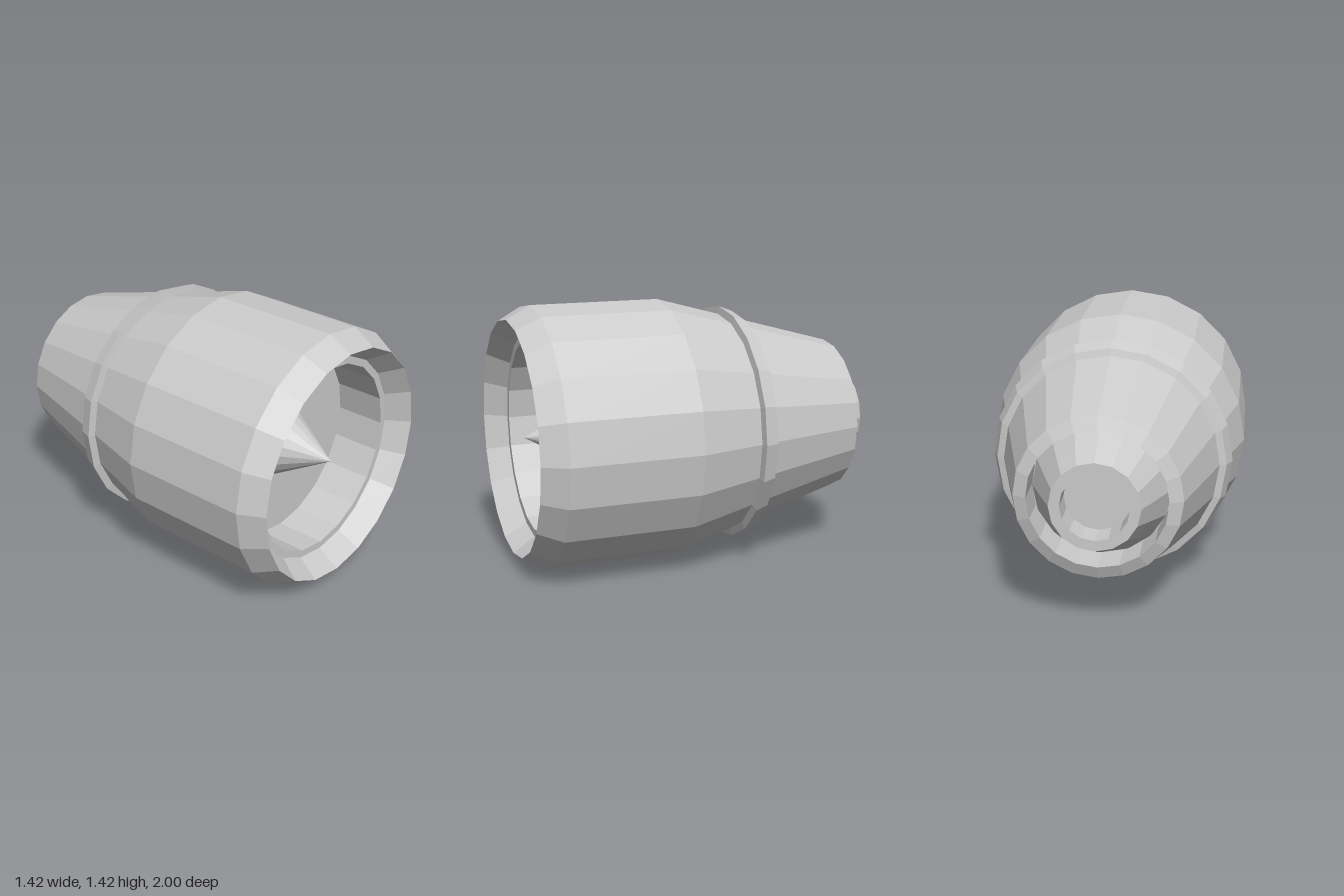
import * as THREE from 'three';

const AXIS_HEIGHT = 0.712;

// Faceted solid of revolution about the z axis; profile is [radius, z] from back to front
function turned(name, sides, profile) {
  const points = profile.map(([r, z]) => new THREE.Vector2(r, z));
  const geometry = new THREE.LatheGeometry(points, sides);
  geometry.rotateX(Math.PI / 2);
  const material = new THREE.MeshStandardMaterial({ color: 0xcccccc, flatShading: true });
  const mesh = new THREE.Mesh(geometry, material);
  mesh.name = name;
  mesh.position.y = AXIS_HEIGHT;
  return mesh;
}

export function createModel() {
  const engine = new THREE.Group();
  engine.name = 'jetEngine';

  // Outer casing with bevelled intake lip and open rear duct
  engine.add(turned('cowling', 20, [
    [0, -0.7], [0.36, -0.7], [0.36, -0.9], [0.43, -0.87],
    [0.712, 0.16], [0.712, 0.87], [0.64, 1], [0.56, 0.88], [0.52, 0.88], [0.52, 0.75],
  ]));

  // Intake wall and flat fan face
  engine.add(turned('fanFace', 20, [[0.52, 0.75], [0.52, 0.61], [0, 0.61]]));

  // Pointed spinner in the middle of the intake
  engine.add(turned('spinner', 16, [[0.182, 0.61], [0, 0.92]]));

  // Raised band around the tapering rear casing
  engine.add(turned('band', 20, [
    [0.58, -0.3], [0.625, -0.288], [0.655, -0.21], [0.605, -0.2],
  ]));

  // Exhaust nozzle with a recessed bore
  engine.add(turned('exhaustNozzle', 16, [
    [0, -0.85], [0.175, -0.85], [0.175, -1], [0.23, -1], [0.275, -0.9], [0.36, -0.7],
  ]));

  return engine;
}
